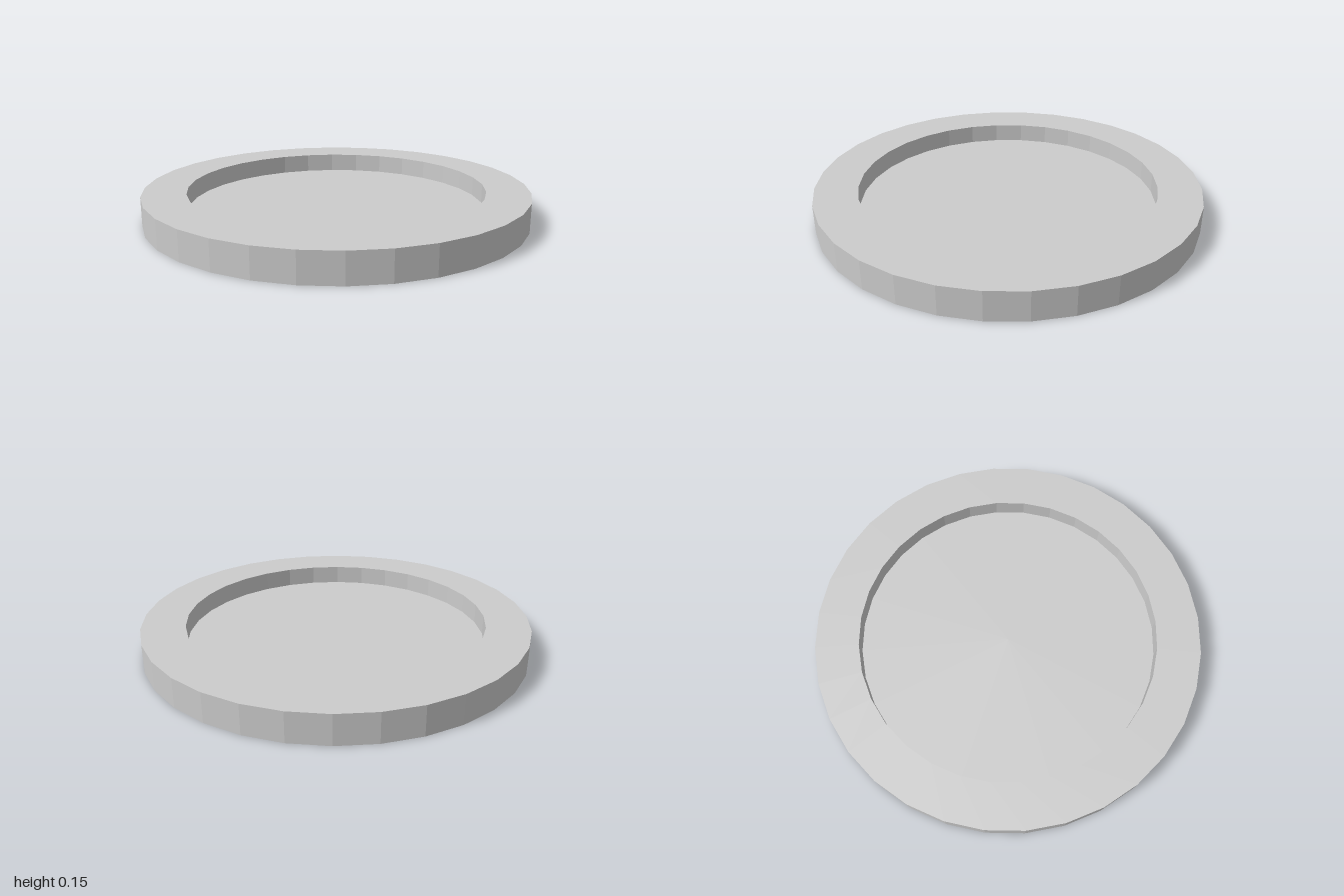
import * as THREE from 'three';

const SIDES = 32;
const RADIUS = 1, HEIGHT = 0.15;
const RECESS_RADIUS = 0.775, FLOOR = 0.05;

export function createModel() {
  const group = new THREE.Group();
  group.name = 'shallowDish';

  // Closed half-section: underside, outer wall, flat rim, recess wall, recess floor
  const profile = [
    [0, 0],
    [RADIUS, 0],
    [RADIUS, HEIGHT],
    [RECESS_RADIUS, HEIGHT],
    [RECESS_RADIUS, FLOOR],
    [0, FLOOR],
  ].map(([r, y]) => new THREE.Vector2(r, y));

  const dish = new THREE.Mesh(
    new THREE.LatheGeometry(profile, SIDES),
    new THREE.MeshStandardMaterial({ color: 0xcccccc, flatShading: true })
  );
  dish.name = 'recessedDisc';
  group.add(dish);

  return group;
}
